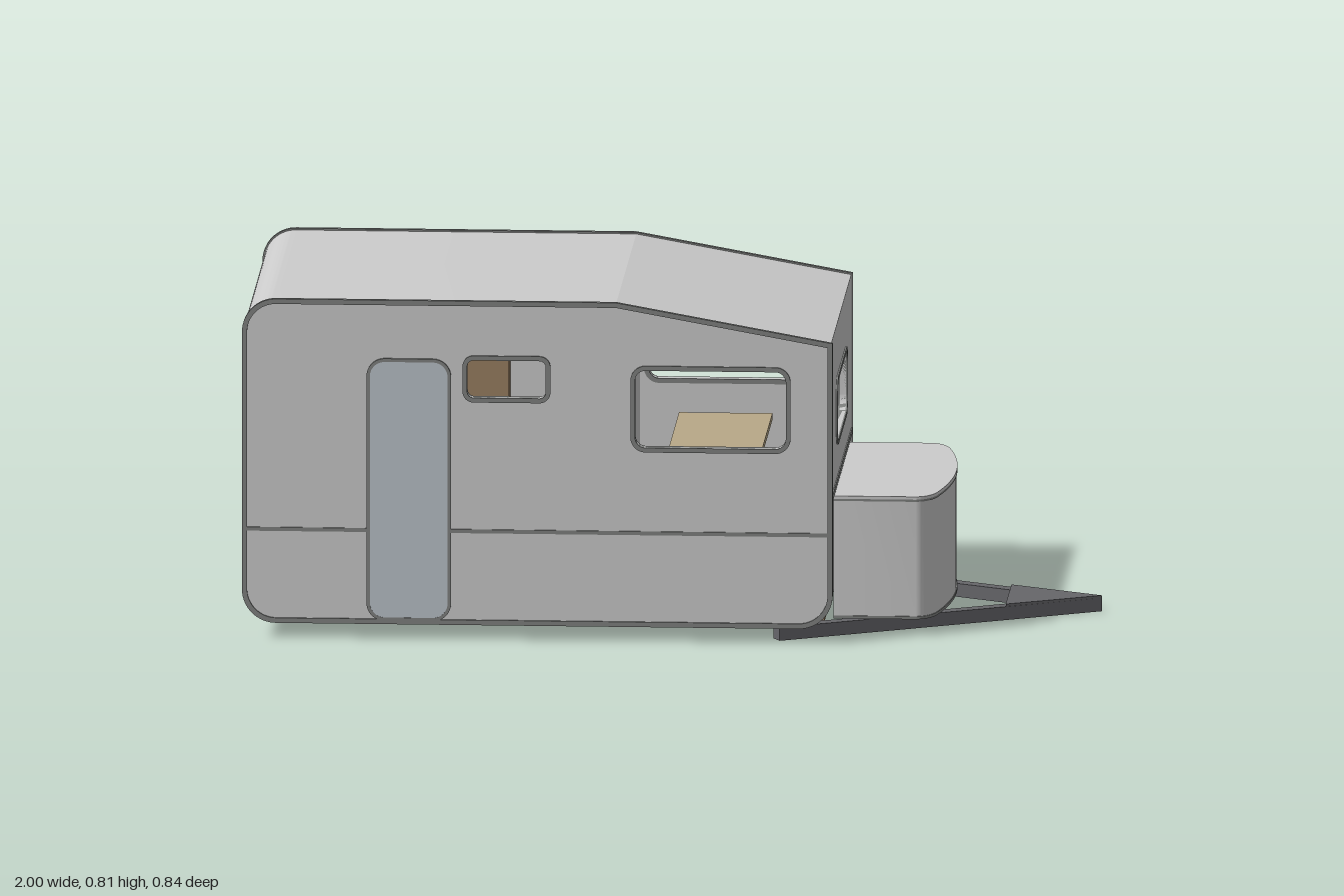
import * as THREE from 'three';
import { toCreasedNormals } from 'three/addons/utils/BufferGeometryUtils.js';

const HALF = 0.417;   // half width over the trims
const SKIN = 0.405;   // half width of the shell between the side walls

const material = (color) => new THREE.MeshStandardMaterial({ color, side: THREE.DoubleSide });

export function createModel() {
  const model = new THREE.Group();
  const grey = material(0xcccccc);
  const trim = material(0x808280);
  const dark = material(0x66666a);
  const doorPaint = material(0xbcc4cb);
  const wood = material(0x9a8062);
  const tan = material(0xb8a888);
  const cushion = material(0x9292b0);

  function add(name, geometry, mat, parent = model) {
    const mesh = new THREE.Mesh(geometry, mat);
    mesh.name = name;
    parent.add(mesh);
    return mesh;
  }

  function extrude(shape, depth, start = 0) {
    const geo = new THREE.ExtrudeGeometry(shape, { depth, bevelEnabled: false, curveSegments: 8 });
    geo.translate(0, 0, start);
    return toCreasedNormals(geo, 0.16);
  }

  // Box given by its limits on each axis
  function block(name, [x0, x1], [y0, y1], [z0, z1], mat, parent = model) {
    const mesh = add(name, new THREE.BoxGeometry(x1 - x0, y1 - y0, z1 - z0), mat, parent);
    mesh.position.set((x0 + x1) / 2, (y0 + y1) / 2, (z0 + z1) / 2);
    return mesh;
  }

  // Side outline of the body, shrunk inwards by d
  function profile(d) {
    const s = new THREE.Shape();
    const R = 0.08;
    s.moveTo(0.39 - d, 0.72 - d * 0.85);
    s.lineTo(-0.12, 0.812 - d);
    s.lineTo(-1 + R, 0.812 - d);
    s.absarc(-1 + R, 0.812 - R, R - d, Math.PI / 2, Math.PI);
    s.absarc(-1 + R, 0.035 + R, R - d, Math.PI, Math.PI * 1.5);
    s.absarc(0.39 - R, 0.035 + R, R - d, Math.PI * 1.5, Math.PI * 2);
    return s;
  }

  // Rounded rectangle by limits, grown outwards by g
  function rounded([x0, x1, y0, y1, r], g = 0) {
    const s = new THREE.Shape();
    const R = r + g;
    s.absarc(x1 - r, y1 - r, R, 0, Math.PI / 2);
    s.absarc(x0 + r, y1 - r, R, Math.PI / 2, Math.PI);
    s.absarc(x0 + r, y0 + r, R, Math.PI, Math.PI * 1.5);
    s.absarc(x1 - r, y0 + r, R, Math.PI * 1.5, Math.PI * 2);
    s.closePath();
    return s;
  }

  function ring(rect, width) {
    const s = rounded(rect, width);
    s.holes.push(rounded(rect));
    return s;
  }

  // Roof, rear and floor as one bent skin, open at the drawbar end
  const outer = profile(0.004).getPoints(12);
  const inner = profile(0.018).getPoints(12).reverse();
  add('bodyShell', extrude(new THREE.Shape([...outer, ...inner]), SKIN * 2, -SKIN), grey);

  // Side walls with window openings, frames, edge trim and belt line
  const largeWindow = [-0.075, 0.28, 0.465, 0.65, 0.025];
  const sides = [
    { name: 'front', sign: 1, windows: [largeWindow, [-0.47, -0.285, 0.58, 0.67, 0.015]] },
    { name: 'back', sign: -1, windows: [[-0.09, 0.265, 0.465, 0.65, 0.025], [-0.73, -0.58, 0.58, 0.67, 0.015]] },
  ];
  for (const { name, sign, windows } of sides) {
    const side = new THREE.Group();
    side.name = name + 'Side';
    model.add(side);
    const slab = (z0, z1) => (sign > 0 ? [z0, z1] : [-z1, -z0]);
    const layer = (part, shape, z0, z1, mat) => {
      const [a, b] = slab(z0, z1);
      add(part, extrude(shape, b - a, a), mat, side);
    };
    const wall = profile(0.008);
    wall.holes.push(...windows.map((w) => rounded(w)));
    layer('sideWall', wall, 0.395, 0.412, grey);
    const edge = profile(0);
    edge.holes.push(profile(0.012));
    layer('edgeTrim', edge, SKIN, HALF, trim);
    for (const w of windows) layer('windowFrame', ring(w, 0.011), 0.392, HALF, trim);
    block('beltLine', [-0.99, 0.38], [0.255, 0.264], slab(0.41, 0.415), trim, side);
  }

  // Entrance door with its surround
  const doorRect = [-0.699, -0.516, 0.051, 0.664, 0.035];
  add('door', extrude(rounded(doorRect), 0.012, 0.405), doorPaint);
  add('doorFrame', extrude(ring(doorRect, 0.008), 0.013, 0.405), trim);

  // End wall facing the drawbar, drawn in z and y and turned to face +x
  const endWindow = [-0.2, 0.2, 0.438, 0.583, 0.035];
  const endWall = new THREE.Shape();
  endWall.moveTo(-SKIN, 0.11);
  endWall.lineTo(SKIN, 0.11);
  endWall.lineTo(SKIN, 0.716);
  endWall.lineTo(-SKIN, 0.716);
  endWall.closePath();
  endWall.holes.push(rounded(endWindow));
  add('endWall', extrude(endWall, 0.014, 0.372), grey).rotation.y = Math.PI / 2;
  add('endWindowFrame', extrude(ring(endWindow, 0.01), 0.022, 0.368), trim).rotation.y = Math.PI / 2;
  block('endBeltLine', [0.384, 0.389], [0.336, 0.35], [-SKIN, SKIN], trim);

  // Storage box with a bowed front and rounded corners
  function boxOutline(g) {
    const s = new THREE.Shape();
    s.moveTo(0.386, -0.312 - g);
    s.lineTo(0.575, -0.312 - g);
    s.quadraticCurveTo(0.608 + g, -0.312 - g, 0.625 + g, -0.26);
    s.quadraticCurveTo(0.687 + g, 0, 0.625 + g, 0.26);
    s.quadraticCurveTo(0.608 + g, 0.312 + g, 0.575, 0.312 + g);
    s.lineTo(0.386, 0.312 + g);
    s.closePath();
    return s;
  }
  const storage = new THREE.Group();
  storage.name = 'storageBox';
  model.add(storage);
  const layers = [['boxBase', 0.04, 0.047, 0.002, trim], ['boxBody', 0.047, 0.322, 0, grey],
    ['boxSeam', 0.322, 0.327, 0.002, trim], ['boxLid', 0.327, 0.334, 0.002, grey]];
  for (const [name, y0, y1, grow, mat] of layers) {
    const geo = new THREE.ExtrudeGeometry(boxOutline(grow), { depth: y1 - y0, bevelEnabled: false, curveSegments: 14 });
    geo.rotateX(-Math.PI / 2).translate(0, y0, 0);
    add(name, toCreasedNormals(geo, 0.3), mat, storage);
  }

  // Drawbar: two converging beams and a triangular coupling plate
  function flat(name, points, y0, y1) {
    const shape = new THREE.Shape(points.map(([x, z]) => new THREE.Vector2(x, -z)));
    const geo = new THREE.ExtrudeGeometry(shape, { depth: y1 - y0, bevelEnabled: false });
    add(name, geo.rotateX(-Math.PI / 2).translate(0, y0, 0), dark);
  }
  for (const s of [1, -1]) {
    flat('drawbarBeam', [[0.248, 0.36 * s], [0.264, 0.387 * s], [1, 0], [0.93, 0]], 0, 0.032);
  }
  flat('couplingPlate', [[0.78, 0.114], [1, 0], [0.78, -0.114]], 0.001, 0.038);

  // Interior furniture glimpsed through the windows
  const interior = new THREE.Group();
  interior.name = 'interior';
  model.add(interior);
  block('wardrobe', [-0.76, -0.4], [0.05, 0.79], [-0.39, -0.075], wood, interior);
  block('kitchenUnit', [-0.4, -0.11], [0.05, 0.6], [-0.39, -0.13], grey, interior);
  block('overheadLocker', [0.268, 0.37], [0.6, 0.71], [-0.39, -0.15], wood, interior);
  block('tableTop', [0.0, 0.22], [0.435, 0.45], [-0.075, 0.38], tan, interior);
  block('tableLeg', [0.09, 0.13], [0.05, 0.435], [0.13, 0.17], tan, interior);
  for (const [x0, x1, back] of [[-0.2, -0.03, [-0.2, -0.15]], [0.25, 0.37, null]]) {
    block('benchBase', [x0, x1], [0.05, 0.22], [-0.075, 0.39], wood, interior);
    block('benchCushion', [x0, x1], [0.22, 0.27], [-0.075, 0.39], cushion, interior);
    if (back) block('benchBackrest', back, [0.27, 0.49], [-0.075, 0.39], cushion, interior);
  }

  return model;
}
